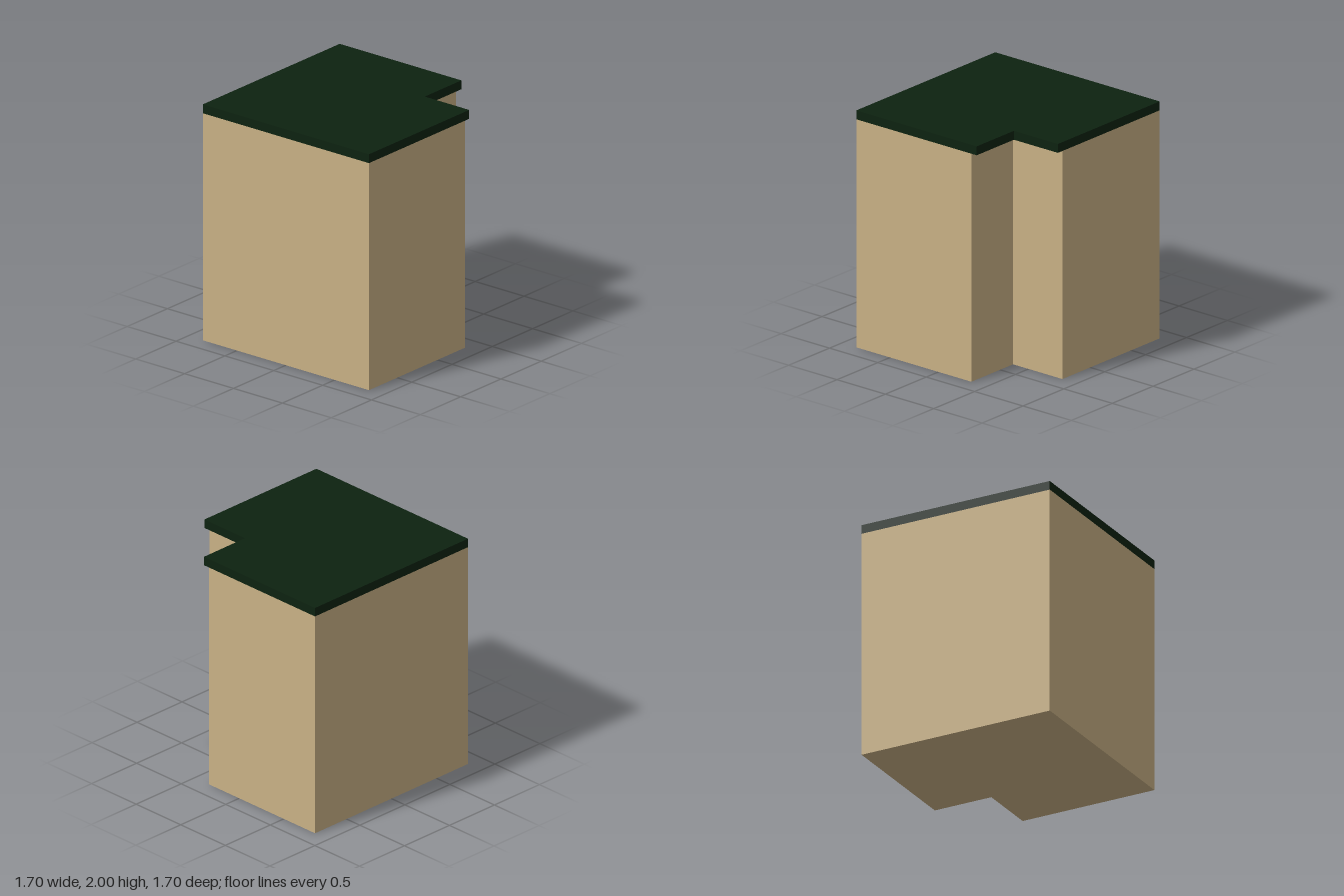
import * as THREE from 'three';

const HALF = 0.85;

// Square slab with a square notch cut from its back left corner
function notchedSlab(name, notch, y0, y1, material) {
  const shape = new THREE.Shape();
  // Shape y is -z, so the back of the model is +y here
  shape.moveTo(-HALF, -HALF);
  shape.lineTo(HALF, -HALF);
  shape.lineTo(HALF, notch);
  shape.lineTo(notch, notch);
  shape.lineTo(notch, HALF);
  shape.lineTo(-HALF, HALF);
  shape.closePath();
  const geometry = new THREE.ExtrudeGeometry(shape, { depth: y1 - y0, bevelEnabled: false });
  geometry.rotateX(-Math.PI / 2);
  geometry.translate(0, y0, 0);
  const mesh = new THREE.Mesh(geometry, material);
  mesh.name = name;
  return mesh;
}

export function createModel() {
  const wood = new THREE.MeshStandardMaterial({ color: 0xc9b185 });
  wood.name = 'tan wood';
  const green = new THREE.MeshStandardMaterial({ color: 0x0d2210 });
  green.name = 'dark green';

  const model = new THREE.Group();
  model.name = 'cornerCabinet';
  // Cabinet body, with the worktop overhanging it inside the notch
  model.add(notchedSlab('cabinetBody', 0.34, 0, 1.925, wood));
  model.add(notchedSlab('worktop', 0.395, 1.925, 2, green));
  return model;
}
